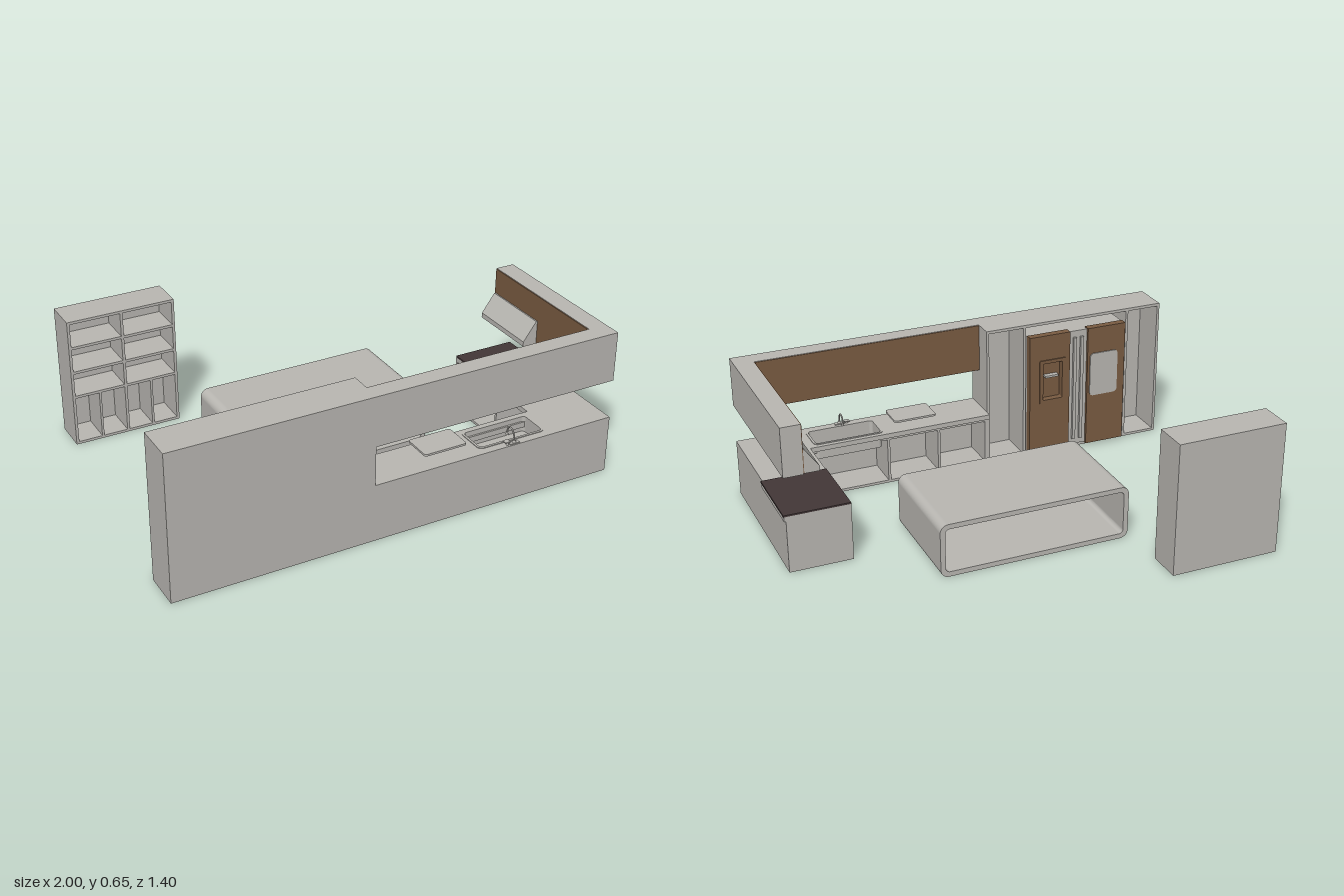
import * as THREE from 'three';

const stone = new THREE.MeshStandardMaterial({ color: 0xbab8b3 });
stone.name = 'pale stone';
const wood = new THREE.MeshStandardMaterial({ color: 0x7a5c42 });
wood.name = 'brown wood';
const glass = new THREE.MeshStandardMaterial({ color: 0x433737 });
glass.name = 'dark cooktop';

function add(parent, name, geometry, material = stone) {
  const mesh = new THREE.Mesh(geometry, material);
  mesh.name = name;
  parent.add(mesh);
  return mesh;
}

// Box given by its limits on each axis
function box(parent, name, [x0, x1], [y0, y1], [z0, z1], material = stone) {
  const g = new THREE.BoxGeometry(x1 - x0, y1 - y0, z1 - z0);
  g.translate((x0 + x1) / 2, (y0 + y1) / 2, (z0 + z1) / 2);
  return add(parent, name, g, material);
}

function group(parent, name) {
  const g = new THREE.Group();
  g.name = name;
  parent.add(g);
  return g;
}

// Rounded rectangle outline, for shapes and holes
function roundRect(path, x0, x1, y0, y1, r) {
  path.moveTo(x0 + r, y0);
  path.lineTo(x1 - r, y0);
  path.absarc(x1 - r, y0 + r, r, -Math.PI / 2, 0);
  path.lineTo(x1, y1 - r);
  path.absarc(x1 - r, y1 - r, r, 0, Math.PI / 2);
  path.lineTo(x0 + r, y1);
  path.absarc(x0 + r, y1 - r, r, Math.PI / 2, Math.PI);
  path.lineTo(x0, y0 + r);
  path.absarc(x0 + r, y0 + r, r, Math.PI, Math.PI * 1.5);
  return path;
}

// Extrude along z, or lay flat with the top at y
function extrude(shape, depth, z) {
  return new THREE.ExtrudeGeometry(shape, { depth, bevelEnabled: false, curveSegments: 8 }).translate(0, 0, z);
}
function slab(shape, depth, y) {
  return extrude(shape, depth, 0).rotateX(Math.PI / 2).translate(0, y, 0);
}

function tallUnit(root) {
  const g = group(root, 'tallCabinet');
  box(g, 'backPanel', [-1, -0.13], [0, 0.65], [0.69, 0.7]);
  box(g, 'topPanel', [-1, -0.13], [0.637, 0.65], [0.53, 0.69]);
  box(g, 'floorPanel', [-1, -0.13], [0, 0.012], [0.53, 0.69]);
  for (const x of [-1, -0.838, -0.322, -0.142]) {
    box(g, 'upright', [x, x + 0.012], [0.012, 0.637], [0.53, 0.69]);
  }
  // Fridge with two doors and a handle strip between them
  const f = group(root, 'fridge');
  box(f, 'body', [-0.81, -0.33], [0.013, 0.59], [0.535, 0.685]);
  box(f, 'centreStrip', [-0.62, -0.53], [0.02, 0.59], [0.515, 0.535]);
  for (const x of [-0.6, -0.565]) box(f, 'handle', [x, x + 0.015], [0.05, 0.56], [0.503, 0.515]);

  const door = new THREE.Shape();
  roundRect(door, -0.53, -0.33, 0.015, 0.595, 0.001);
  door.holes.push(roundRect(new THREE.Path(), -0.49, -0.395, 0.28, 0.46, 0.004));
  add(f, 'dispenserDoor', extrude(door, 0.035, 0.502), wood);
  const frame = roundRect(new THREE.Shape(), -0.508, -0.378, 0.262, 0.476, 0.006);
  frame.holes.push(roundRect(new THREE.Path(), -0.49, -0.395, 0.28, 0.46, 0.004));
  add(f, 'dispenserFrame', extrude(frame, 0.006, 0.497), wood);
  box(f, 'dispenserRecess', [-0.49, -0.395], [0.28, 0.46], [0.529, 0.534], wood);
  box(f, 'dispenserShelf', [-0.475, -0.41], [0.385, 0.395], [0.505, 0.529]);
  box(f, 'plainDoor', [-0.81, -0.62], [0.015, 0.595], [0.502, 0.537], wood);
  const panel = roundRect(new THREE.Shape(), -0.772, -0.632, 0.26, 0.47, 0.018);
  add(f, 'doorPanel', extrude(panel, 0.006, 0.497));
}

function upperUnits(root) {
  const g = group(root, 'wallCabinets');
  box(g, 'longCabinet', [-0.13, 0.99], [0.43, 0.65], [0.62, 0.7]);
  box(g, 'sideCabinet', [0.905, 0.99], [0.43, 0.65], [-0.05, 0.62]);
  box(g, 'longDoors', [-0.13, 0.905], [0.432, 0.648], [0.616, 0.62], wood);
  box(g, 'sideDoors', [0.901, 0.905], [0.432, 0.648], [-0.047, 0.616], wood);
  // Sloped extractor hood over the cooktop
  const hood = new THREE.Shape([[0.906, 0.43], [0.906, 0.535], [0.895, 0.535], [0.835, 0.452], [0.835, 0.43]]
    .map(([x, y]) => new THREE.Vector2(x, y)));
  add(g, 'hood', extrude(hood, 0.32, -0.043));
}

function baseUnits(root) {
  const g = group(root, 'baseCabinets');
  // Open run below the sink
  box(g, 'outerPanel', [-0.13, 0.99], [0, 0.237], [0.69, 0.7]);
  box(g, 'runFloor', [-0.13, 0.99], [0, 0.012], [0.53, 0.69]);
  for (const x of [-0.13, 0.1, 0.34, 0.71]) {
    box(g, 'divider', [x, x + 0.012], [0.012, 0.237], [0.53, 0.69]);
  }
  box(g, 'runRail', [-0.13, 0.735], [0.212, 0.237], [0.53, 0.538]);

  // Side leg, open towards the room
  box(g, 'legOuterPanel', [0.98, 0.99], [0, 0.237], [-0.05, 0.69]);
  box(g, 'legFloor', [0.715, 0.98], [0, 0.012], [-0.05, 0.53]);
  box(g, 'legEnd', [0.715, 0.98], [0.012, 0.25], [-0.05, -0.038]);
  box(g, 'legDivider', [0.715, 0.98], [0.012, 0.237], [0.27, 0.282]);

  // L-shaped worktop with a sink cut-out
  const top = new THREE.Shape([[-0.13, 0.5], [0.715, 0.5], [0.715, -0.05], [0.99, -0.05], [0.99, 0.7], [-0.13, 0.7]]
    .map(([x, z]) => new THREE.Vector2(x, z)));
  top.holes.push(roundRect(new THREE.Path(), 0.38, 0.68, 0.53, 0.655, 0.015));
  add(g, 'worktop', slab(top, 0.022, 0.257));
  box(g, 'cooktopBase', [0.715, 0.998], [0.235, 0.256], [-0.05, 0.275]);
  box(g, 'cooktop', [0.715, 1], [0.256, 0.264], [-0.05, 0.278], glass);

  // Sink bowl and rim
  const s = group(root, 'sink');
  const rim = roundRect(new THREE.Shape(), 0.37, 0.69, 0.52, 0.665, 0.022);
  rim.holes.push(roundRect(new THREE.Path(), 0.38, 0.68, 0.53, 0.655, 0.015));
  add(s, 'rim', slab(rim, 0.004, 0.26));
  const wall = roundRect(new THREE.Shape(), 0.376, 0.684, 0.526, 0.659, 0.018);
  wall.holes.push(roundRect(new THREE.Path(), 0.38, 0.68, 0.53, 0.655, 0.015));
  add(s, 'bowlWall', slab(wall, 0.07, 0.256));
  add(s, 'bowlFloor', slab(roundRect(new THREE.Shape(), 0.376, 0.684, 0.526, 0.659, 0.018), 0.005, 0.19));
  add(s, 'drain', new THREE.CylinderGeometry(0.016, 0.016, 0.004, 20).translate(0.53, 0.191, 0.587));

  // Gooseneck tap with a side lever
  const t = group(root, 'tap');
  const neck = new THREE.CatmullRomCurve3([[0.257, 0.686], [0.288, 0.684], [0.308, 0.672], [0.314, 0.658],
    [0.307, 0.642], [0.28, 0.634]].map(([y, z]) => new THREE.Vector3(0.522, y, z)));
  add(t, 'neck', new THREE.TubeGeometry(neck, 24, 0.0035, 8));
  add(t, 'spout', new THREE.CylinderGeometry(0.004, 0.006, 0.014, 10).translate(0.522, 0.277, 0.634));
  add(t, 'base', new THREE.CylinderGeometry(0.006, 0.01, 0.014, 12).translate(0.522, 0.264, 0.686));
  box(t, 'foot', [0.5, 0.544], [0.257, 0.261], [0.676, 0.696]);
  add(t, 'leverPost', new THREE.CylinderGeometry(0.004, 0.006, 0.012, 10).translate(0.49, 0.263, 0.686));
  box(t, 'lever', [0.478, 0.502], [0.267, 0.271], [0.668, 0.69]);

  // Raised board beside the sink
  const board = roundRect(new THREE.Shape(), 0.12, 0.315, 0.525, 0.655, 0.012);
  add(root, 'board', slab(board, 0.009, 0.298));
}

function island(root) {
  const ring = roundRect(new THREE.Shape(), -0.4, 0.445, 0, 0.24, 0.035);
  ring.holes.push(roundRect(new THREE.Path(), -0.378, 0.423, 0.022, 0.218, 0.018));
  add(root, 'island', extrude(ring, 0.48, -0.34));
}

function bookcase(root) {
  const g = group(root, 'bookcase');
  const z = [-0.69, -0.545];
  box(g, 'back', [-0.905, -0.42], [0, 0.59], [-0.7, -0.69]);
  for (const x of [-0.905, -0.668, -0.432]) box(g, 'upright', [x, x + 0.012], [0, 0.59], z);
  for (const x of [-0.893, -0.656]) {
    for (const y of [0, 0.225, 0.342, 0.459, 0.578]) {
      box(g, 'shelf', [x, x + (x < -0.8 ? 0.225 : 0.224)], [y, y + 0.012], z);
    }
    box(g, 'lowerDivider', [x + 0.107, x + 0.117], [0.012, 0.225], z);
  }
}

export function createModel() {
  const root = new THREE.Group();
  root.name = 'kitchen';
  tallUnit(root);
  upperUnits(root);
  baseUnits(root);
  island(root);
  bookcase(root);
  return root;
}
